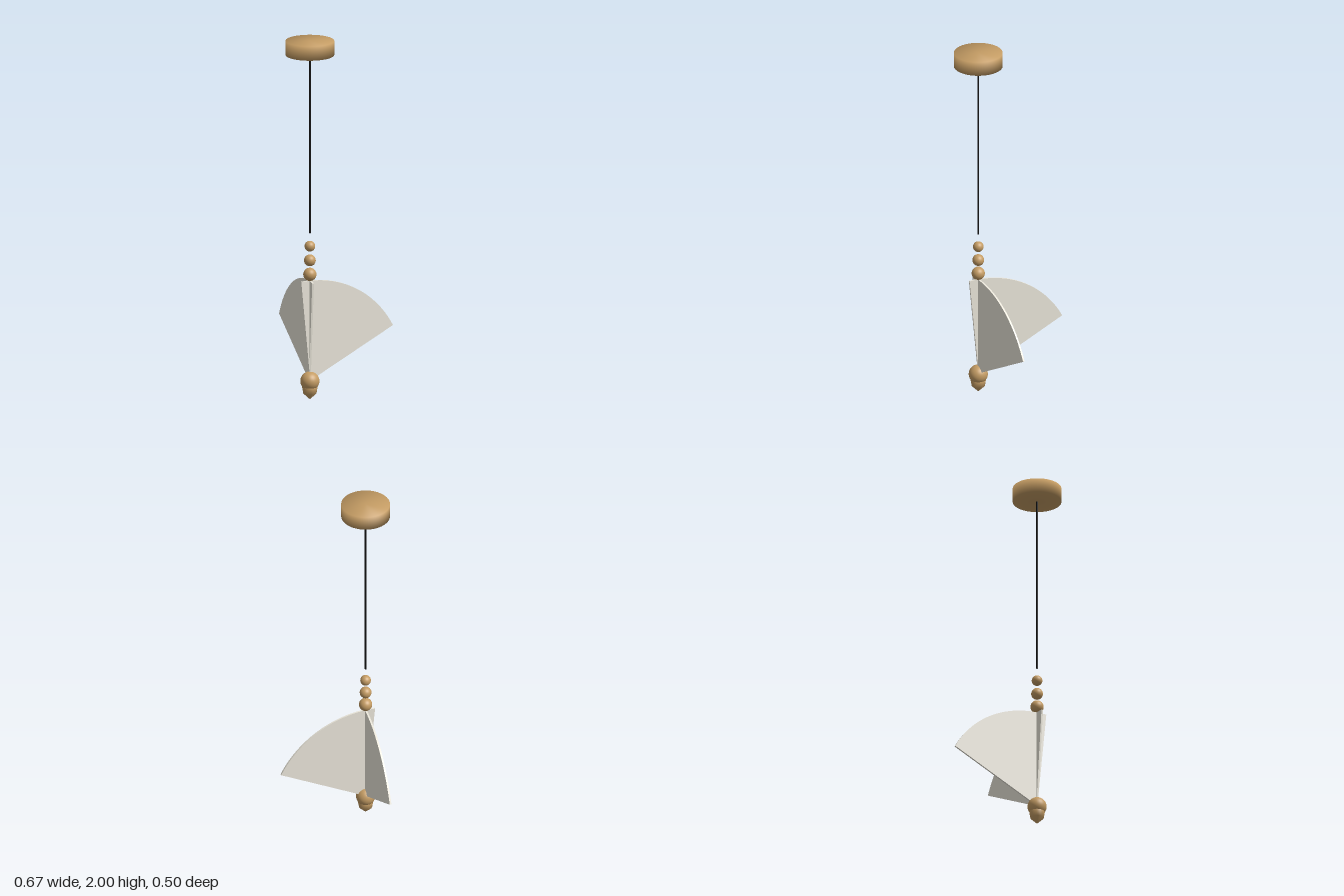
import * as THREE from 'three';

const brass = new THREE.MeshStandardMaterial({ color: 0xc49c64 });
const black = new THREE.MeshStandardMaterial({ color: 0x111111 });
const ivory = new THREE.MeshStandardMaterial({ color: 0xeae6da });

function add(group, name, geometry, material, y = 0) {
  const mesh = new THREE.Mesh(geometry, material);
  mesh.name = name;
  mesh.position.y = y;
  group.add(mesh);
  return mesh;
}

// Smooth turned solid from [radius, height] pairs, bottom to top
function turned(points) {
  return new THREE.LatheGeometry(points.map(([r, y]) => new THREE.Vector2(r, y)), 64);
}

export function createModel() {
  const lamp = new THREE.Group();
  lamp.name = 'pendantLamp';
  lamp.position.z = 0.12; // the hanging axis sits forward of centre

  // Ceiling canopy and cord
  add(lamp, 'canopy', turned([[0, 1.921], [0.132, 1.921], [0.132, 2], [0, 2]]), brass);
  add(lamp, 'cord', new THREE.CylinderGeometry(0.005, 0.005, 0.995, 16), black, 1.4245);

  // Three floating beads, growing downwards
  [[0.854, 0.029], [0.775, 0.032], [0.697, 0.036]].forEach(([y, r], i) => {
    add(lamp, `bead${i + 1}`, new THREE.SphereGeometry(r, 32, 24), brass, y);
  });

  // Two thin fan-shaped panels spreading backwards from the axis
  const radius = 0.557, thickness = 0.01;
  const start = THREE.MathUtils.degToRad(27.5), end = THREE.MathUtils.degToRad(95.5);
  const fan = new THREE.Shape();
  fan.moveTo(0, 0);
  fan.lineTo(radius * Math.cos(start), radius * Math.sin(start));
  fan.absarc(0, 0, radius, start, end, false);
  fan.closePath();
  const fanGeometry = new THREE.ExtrudeGeometry(fan, {
    depth: thickness, bevelEnabled: false, curveSegments: 48,
  }).translate(0, 0, -thickness / 2);
  const swing = THREE.MathUtils.degToRad(48);
  add(lamp, 'leftPanel', fanGeometry, ivory, 0.105).rotation.y = swing;
  add(lamp, 'rightPanel', fanGeometry, ivory, 0.105).rotation.y = Math.PI - swing;

  // Ball and pointed finial at the bottom
  add(lamp, 'finialBall', new THREE.SphereGeometry(0.052, 32, 24), brass, 0.102);
  add(lamp, 'finialTip', turned([[0, 0], [0.036, 0.034], [0.042, 0.068], [0.03, 0.1]]), brass);

  const model = new THREE.Group();
  model.name = 'model';
  model.add(lamp);
  return model;
}
